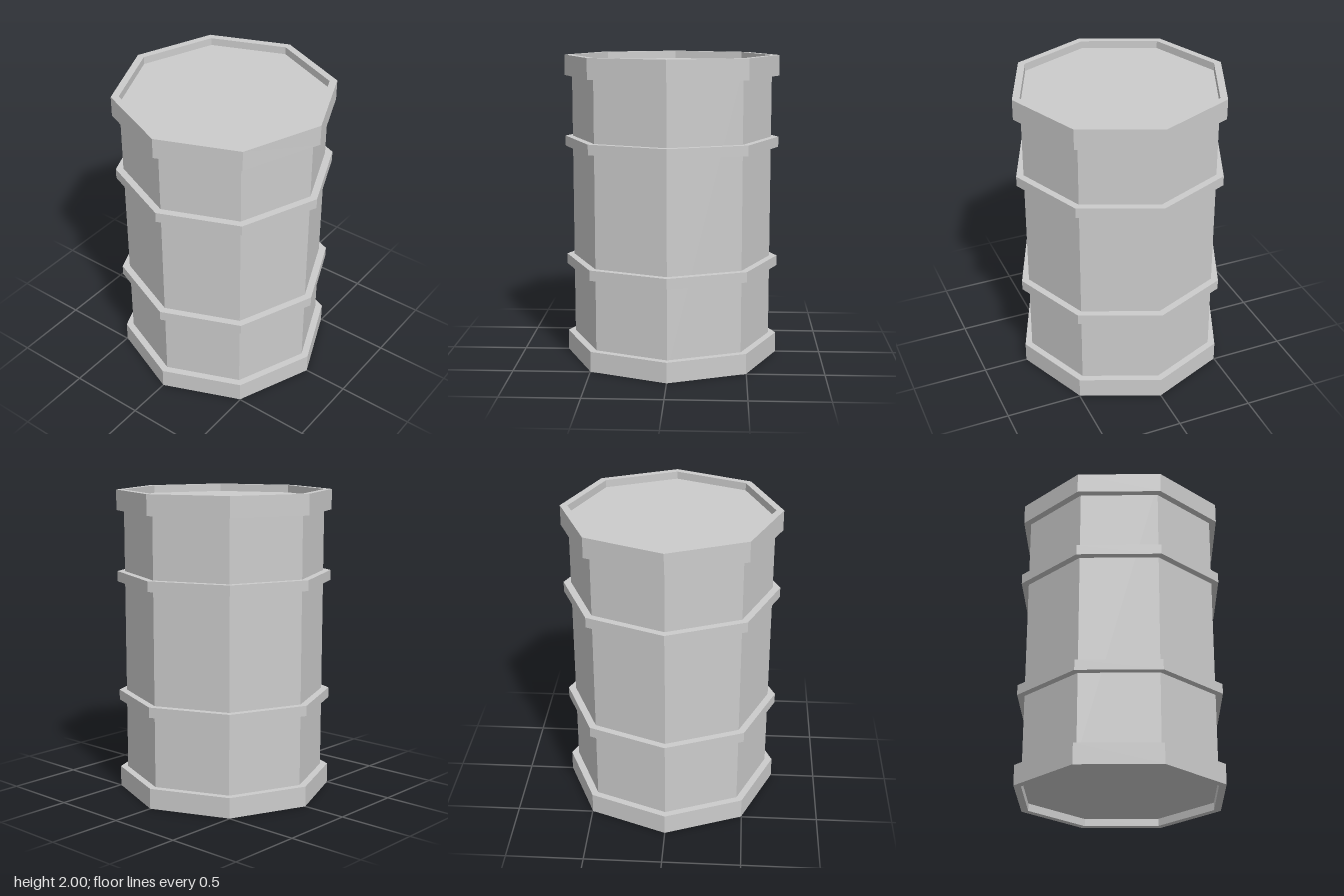
import * as THREE from 'three';

const SIDES = 8;
const BODY_R = 0.655;
const RING_R = 0.704;
const RECESS = 0.05;   // depth of the lid and base inside the rims
const RIM_H = 0.133;
const BAND_H = 0.067;

export function createModel() {
  const group = new THREE.Group();
  group.name = 'barrel';
  const material = new THREE.MeshStandardMaterial({ color: 0xcccccc, flatShading: true });

  const add = (name, geometry, y = 0) => {
    const mesh = new THREE.Mesh(geometry, material);
    mesh.name = name;
    mesh.position.y = y;
    group.add(mesh);
  };

  // Octagonal ring around the body, from a profile of [radius, height] points
  const ring = (name, profile) =>
    add(name, new THREE.LatheGeometry(profile.map(([r, y]) => new THREE.Vector2(r, y)), SIDES));

  // Body, with its end caps as the sunken lid and base
  add('body', new THREE.CylinderGeometry(BODY_R, BODY_R, 2 - 2 * RECESS, SIDES), 1);

  // Rims, standing proud of the lid and base
  ring('bottomRim', [
    [BODY_R, RECESS], [BODY_R, 0], [RING_R, 0], [RING_R, RIM_H], [BODY_R, RIM_H],
  ]);
  ring('topRim', [
    [BODY_R, 2 - RIM_H], [RING_R, 2 - RIM_H], [RING_R, 2], [BODY_R, 2], [BODY_R, 2 - RECESS],
  ]);

  // Two reinforcing bands
  for (const [name, y] of [['lowerBand', 0.6], ['upperBand', 1.4]]) {
    ring(name, [[BODY_R, y], [RING_R, y], [RING_R, y + BAND_H], [BODY_R, y + BAND_H]]);
  }

  return group;
}
